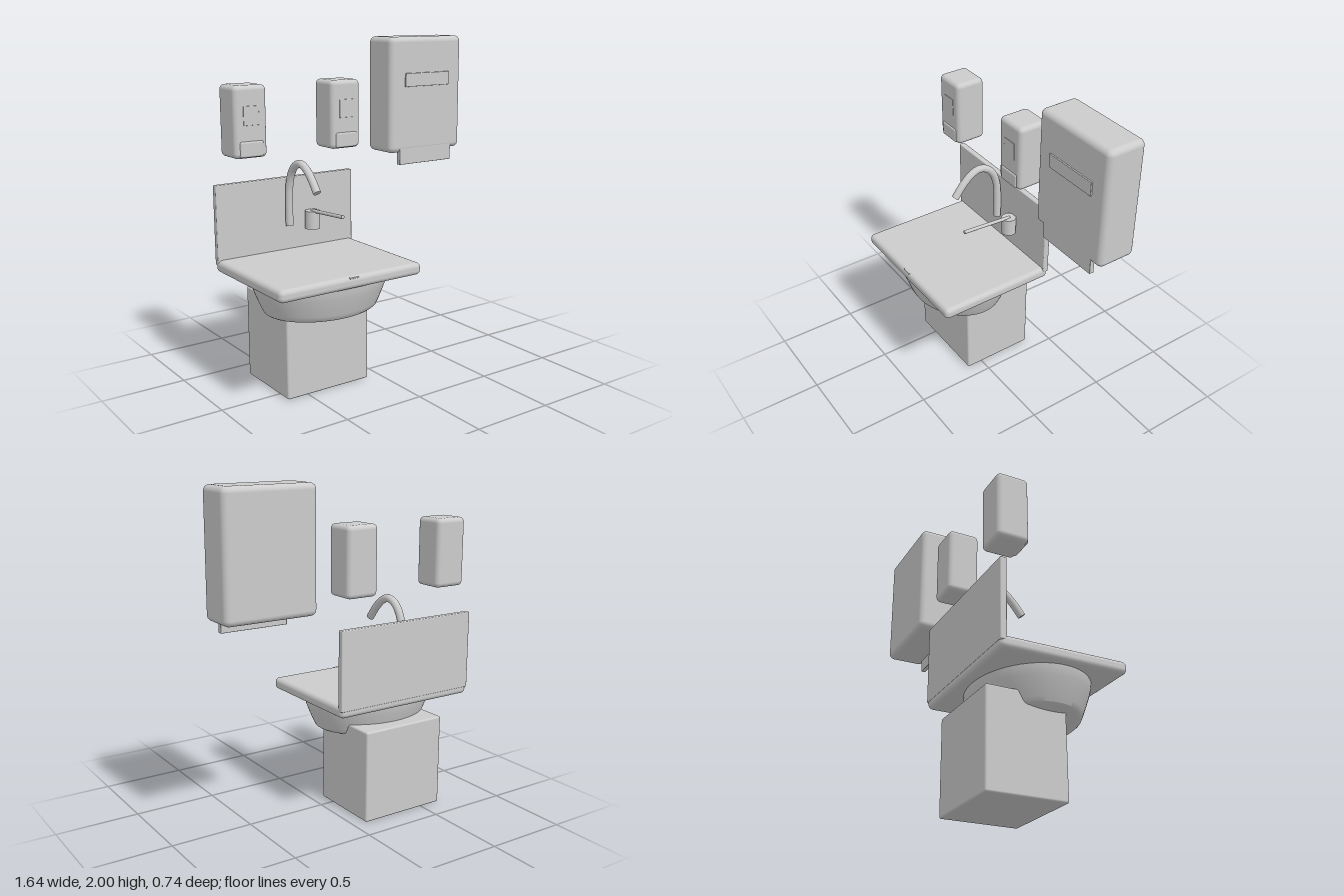
import * as THREE from 'three';
import { RoundedBoxGeometry } from 'three/addons/geometries/RoundedBoxGeometry.js';
import { toCreasedNormals } from 'three/addons/utils/BufferGeometryUtils.js';

const grey = new THREE.MeshStandardMaterial({ color: 0xcccccc });

export function createModel() {
  const root = new THREE.Group();
  root.name = 'washStation';

  const add = (name, geometry, parent = root) => {
    const mesh = new THREE.Mesh(geometry, grey);
    mesh.name = name;
    parent.add(mesh);
    return mesh;
  };
  // Rounded box given by its limits on each axis
  const block = (name, [x0, x1], [y0, y1], [z0, z1], radius, parent) => {
    const g = new RoundedBoxGeometry(x1 - x0, y1 - y0, z1 - z0, 4, radius);
    g.translate((x0 + x1) / 2, (y0 + y1) / 2, (z0 + z1) / 2);
    return add(name, g, parent);
  };

  // Pedestal, counter and splash panel
  block('pedestal', [-0.635, -0.08], [0, 0.56], [-0.36, 0.105], 0.012);
  block('counter', [-0.825, 0.108], [0.678, 0.75], [-0.37, 0.372], 0.028);
  block('backsplash', [-0.825, 0.108], [0.72, 1.19], [-0.372, -0.335], 0.006);
  block('overflowSlot', [-0.389, -0.329], [0.738, 0.746], [0.35, 0.37], 0.002);

  // Oval bowl under the counter: lathe squeezed along z
  const profile = [
    [0, 0.436], [0.11, 0.437], [0.22, 0.458], [0.335, 0.487], [0.348, 0.496],
    [0.36, 0.52], [0.382, 0.57], [0.402, 0.62], [0.413, 0.655], [0.417, 0.685], [0, 0.7],
  ].map(([r, y]) => new THREE.Vector2(r, y));
  const bowl = new THREE.LatheGeometry(profile, 64);
  bowl.scale(1, 1, 0.782);
  bowl.translate(-0.357, 0, 0.021);
  add('bowl', toCreasedNormals(bowl, 0.5));

  // Gooseneck spout with closed ends
  const path = new THREE.CatmullRomCurve3([
    [0.9, -0.312], [1.06, -0.312], [1.15, -0.304], [1.22, -0.28], [1.272, -0.235],
    [1.292, -0.175], [1.27, -0.115], [1.22, -0.058], [1.148, 0.0],
  ].map(([y, z]) => new THREE.Vector3(-0.359, y, z)));
  const faucet = new THREE.Group();
  faucet.name = 'faucet';
  root.add(faucet);
  add('spout', new THREE.TubeGeometry(path, 64, 0.023, 20), faucet);
  for (const end of [0, 1]) {
    const cap = add('spoutEnd', new THREE.CircleGeometry(0.023, 20), faucet);
    cap.position.copy(path.getPointAt(end));
    const outward = path.getTangentAt(end).multiplyScalar(end ? 1 : -1);
    cap.quaternion.setFromUnitVectors(new THREE.Vector3(0, 0, 1), outward);
  }

  // Mixer valve and its long lever
  const valve = add('valve', new THREE.CylinderGeometry(0.045, 0.045, 0.11, 32), faucet);
  valve.position.set(-0.208, 0.92, -0.295);
  const from = new THREE.Vector3(-0.208, 0.973, -0.3);
  const to = new THREE.Vector3(-0.208, 0.995, 0.036);
  const lever = add('lever', new THREE.CylinderGeometry(0.011, 0.011, from.distanceTo(to), 16), faucet);
  lever.position.copy(from).add(to).multiplyScalar(0.5);
  lever.quaternion.setFromUnitVectors(new THREE.Vector3(0, 1, 0), to.clone().sub(from).normalize());

  // Two soap dispensers
  for (const x of [-0.674, -0.041]) {
    const dispenser = new THREE.Group();
    dispenser.name = 'soapDispenser';
    dispenser.position.x = x;
    root.add(dispenser);
    block('dispenserBody', [-0.102, 0.102], [1.355, 1.76], [-0.36, -0.17], 0.028, dispenser);
    block('dispenserWindow', [-0.048, 0.048], [1.54, 1.647], [-0.19, -0.167], 0.002, dispenser);
    block('pushBar', [-0.074, 0.074], [1.362, 1.453], [-0.2, -0.163], 0.012, dispenser);
  }

  // Towel dispenser with window and hanging towel
  const towels = new THREE.Group();
  towels.name = 'towelDispenser';
  root.add(towels);
  block('towelBody', [0.262, 0.818], [1.295, 2], [-0.372, -0.135], 0.034, towels);
  block('towelWindow', [0.371, 0.71], [1.7, 1.782], [-0.16, -0.126], 0.002, towels);
  block('towel', [0.335, 0.742], [1.22, 1.34], [-0.165, -0.136], 0.003, towels);

  return root;
}
